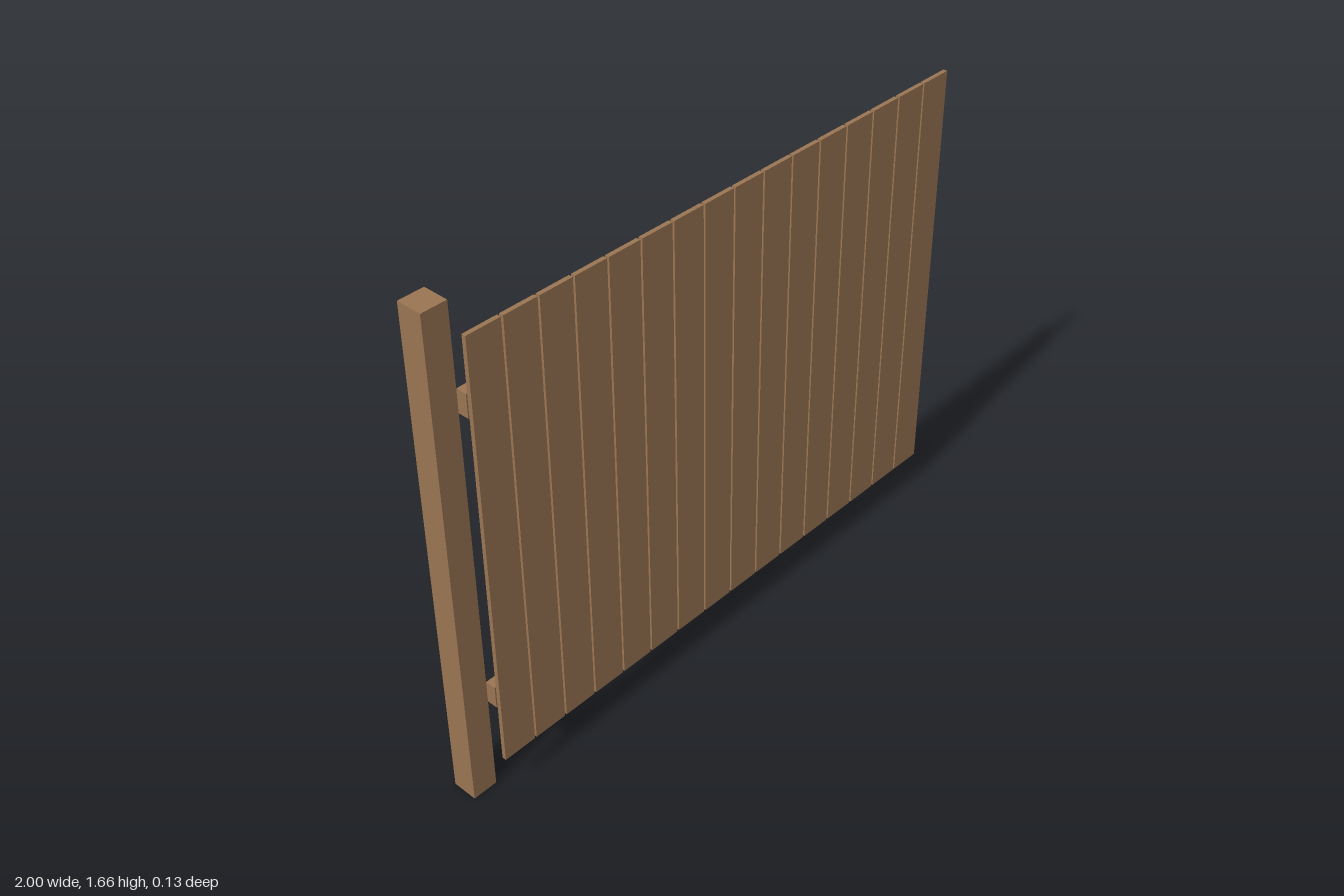
import * as THREE from 'three';

export function createModel() {
  const group = new THREE.Group();
  const wood = new THREE.MeshStandardMaterial({ color: 0x997553 });
  wood.name = 'brown wood';

  // Box given by its lower and upper limits on each axis
  function board(name, [x0, x1], [y0, y1], [z0, z1]) {
    const mesh = new THREE.Mesh(new THREE.BoxGeometry(x1 - x0, y1 - y0, z1 - z0), wood);
    mesh.position.set((x0 + x1) / 2, (y0 + y1) / 2, (z0 + z1) / 2);
    mesh.name = name;
    group.add(mesh);
  }

  // Square post at one end
  board('post', [-1, -0.917], [0, 1.657], [-0.066, 0.017]);

  // Horizontal rails behind the planks
  board('lowerRail', [-0.917, 0.985], [0.33, 0.405], [0.017, 0.052]);
  board('upperRail', [-0.917, 0.985], [1.326, 1.401], [0.017, 0.052]);

  // Upright planks with narrow gaps
  const count = 16, pitch = 0.12, width = 0.113;
  for (let i = 0; i < count; i++) {
    const x = 1 - width - (count - 1 - i) * pitch;
    board(`plank${i + 1}`, [x, x + width], [0.126, 1.574], [0.052, 0.066]);
  }
  return group;
}
